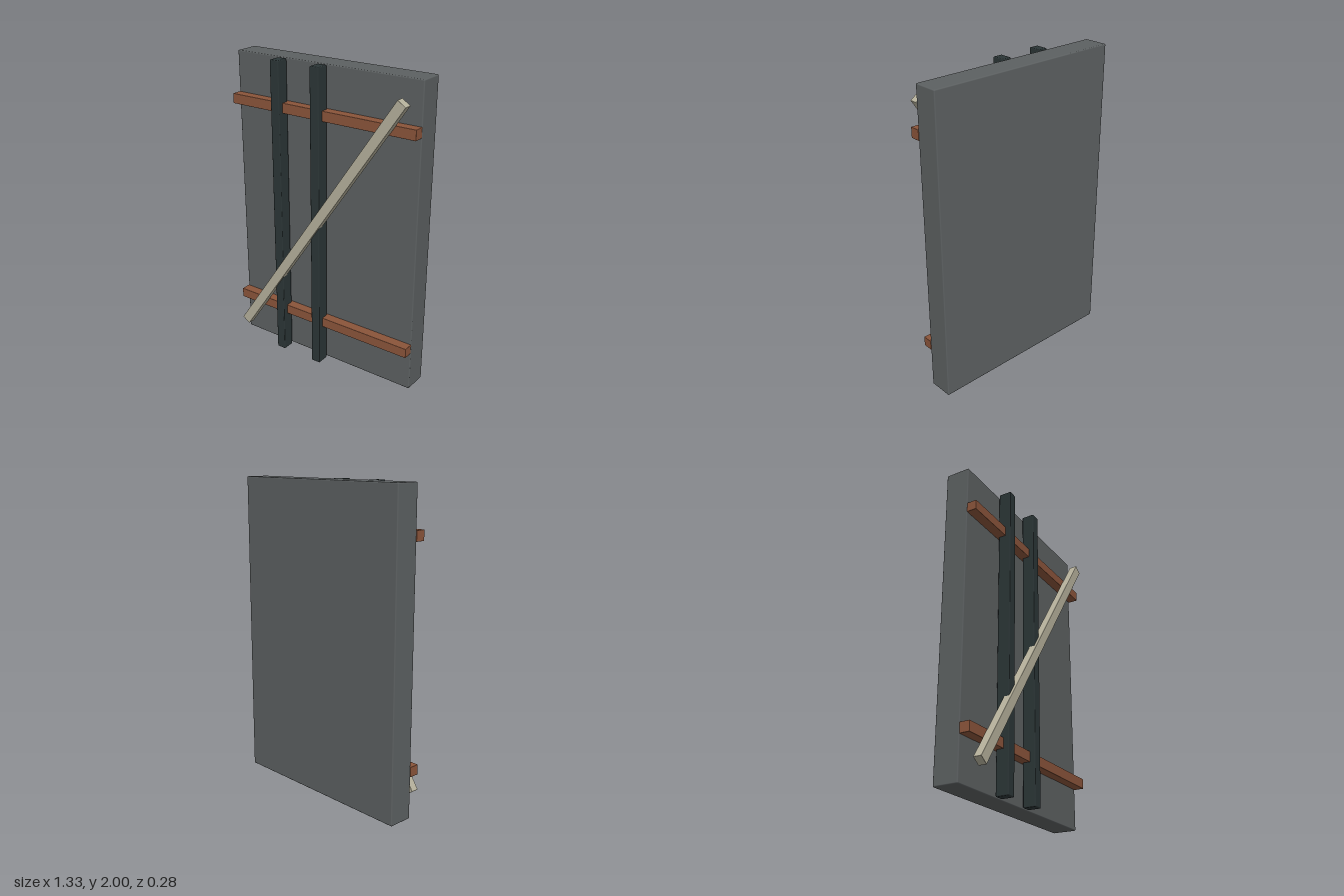
import * as THREE from 'three';
import { RoundedBoxGeometry } from 'three/addons/geometries/RoundedBoxGeometry.js';

function material(name, color) {
  const m = new THREE.MeshStandardMaterial({ color });
  m.name = name;
  return m;
}

export function createModel() {
  const group = new THREE.Group();
  group.name = 'bracedPanel';
  const slate = material('slate grey', 0x5c6061);
  const rust = material('rust brown', 0x8a543a);
  const iron = material('dark iron', 0x2b3536);
  const pale = material('pale wood', 0xb5b09b);

  // Lightly eased bar or slab, placed by its centre
  function addBar(name, mat, size, position, bevel) {
    const mesh = new THREE.Mesh(new RoundedBoxGeometry(...size, 2, bevel), mat);
    mesh.name = name;
    mesh.position.set(...position);
    group.add(mesh);
    return mesh;
  }

  // Back slab
  addBar('panel', slate, [1.326, 2, 0.16], [0, 1, -0.059], 0.007);

  // Horizontal rails on the front face
  addBar('lowerRail', rust, [1.326, 0.064, 0.065], [0, 0.3, 0.0535], 0.002);
  addBar('upperRail', rust, [1.326, 0.064, 0.065], [0, 1.705, 0.0535], 0.002);

  // Full-height posts crossing the rails
  addBar('rightPost', iron, [0.064, 2, 0.084], [-0.296, 1, 0.079], 0.006);
  addBar('middlePost', iron, [0.064, 2, 0.084], [-0.002, 1, 0.079], 0.006);

  // Diagonal brace in front of everything
  const from = new THREE.Vector2(-0.598, 0.122);
  const to = new THREE.Vector2(0.594, 1.883);
  const span = to.clone().sub(from);
  const mid = from.clone().add(to).multiplyScalar(0.5);
  const brace = addBar('diagonalBrace', pale, [span.length(), 0.064, 0.052], [mid.x, mid.y, 0.112], 0.003);
  brace.rotation.z = span.angle();

  return group;
}
